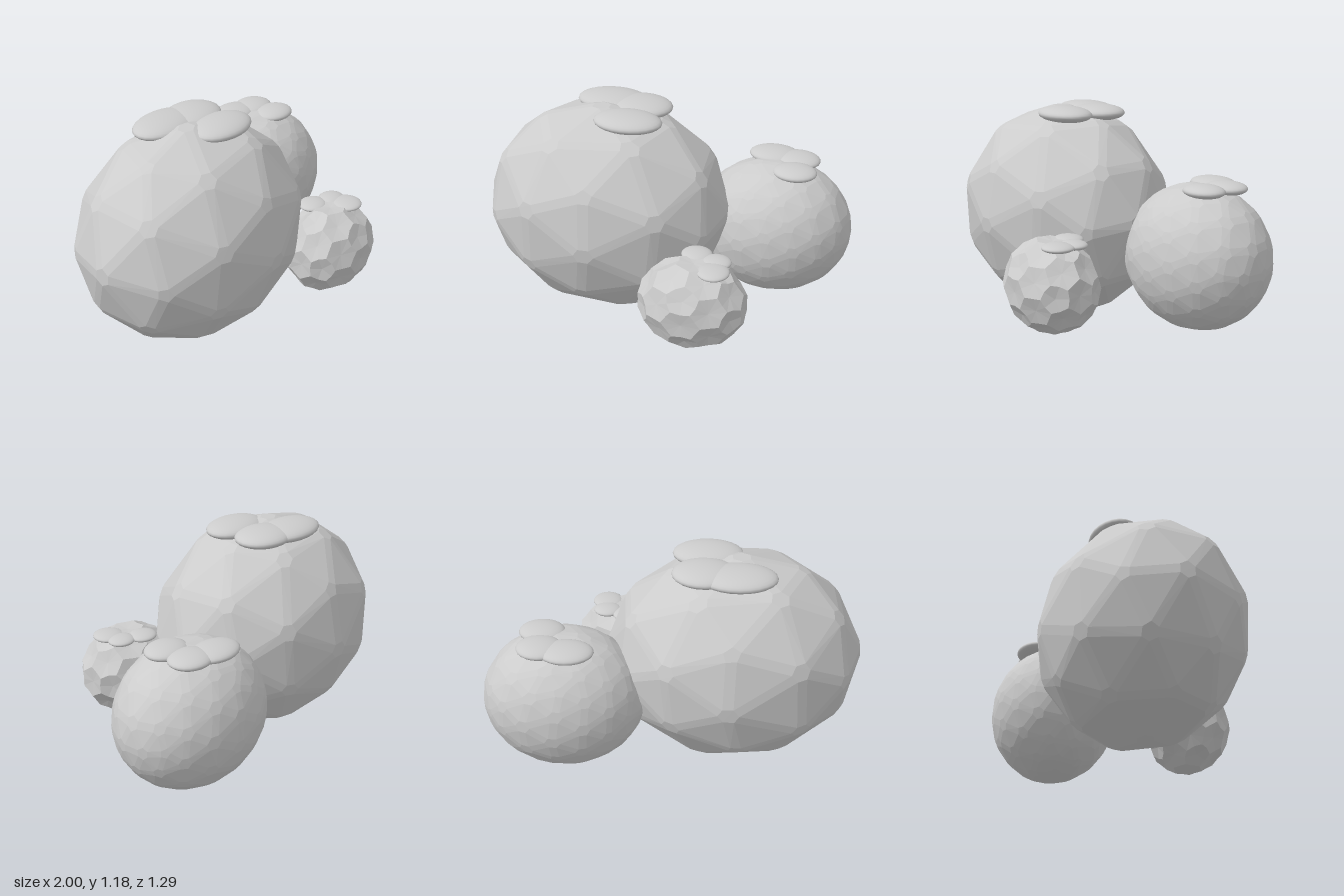
import * as THREE from 'three';
import { ConvexGeometry } from 'three/addons/geometries/ConvexGeometry.js';

const stone = new THREE.MeshStandardMaterial({ color: 0xcccccc, flatShading: true });
const moss = new THREE.MeshStandardMaterial({ color: 0xcccccc });

// Triangles of a slightly warped icosphere, each as three unit vectors
function warpedTriangles({ detail, warp, seed }) {
  const pos = new THREE.IcosahedronGeometry(1, detail).attributes.position;
  const corner = (i) => {
    const p = new THREE.Vector3().fromBufferAttribute(pos, i);
    return p.set(
      p.x + warp * Math.sin(3 * p.y + seed),
      p.y + warp * Math.sin(3 * p.z + seed * 2),
      p.z + warp * Math.sin(3 * p.x + seed * 3)).normalize();
  };
  return Array.from({ length: pos.count / 3 }, (_, t) => [0, 1, 2].map((k) => corner(t * 3 + k)));
}

const middle = (...pts) => pts.reduce((s, p) => s.add(p), new THREE.Vector3()).divideScalar(pts.length);

// Flat facets joined by bevel strips: hull of the icosphere's triangles after insetting
function bevelledStone(rock) {
  const points = [];
  for (const tri of warpedTriangles(rock)) {
    const mid = middle(...tri);
    for (const p of tri) points.push(mid.clone().lerp(p, rock.inset).normalize());
  }
  return new ConvexGeometry(points);
}

// Dimpled stone: hollow five- and six-sided cells with raised rims
function dimpledStone(rock) {
  const points = [];
  for (const tri of warpedTriangles(rock)) {
    const mid = middle(...tri).normalize();
    const low = tri.map((p) => p.clone().multiplyScalar(rock.hollow));
    for (let k = 0; k < 3; k++) {
      const n = (k + 1) % 3;
      const rim = middle(tri[k], tri[n]).normalize().multiplyScalar(0.98);
      points.push(low[k], rim, mid, rim, low[n], mid);
    }
  }
  return new THREE.BufferGeometry().setFromPoints(points);
}

// Size one stone to its own extents
function fit(geo, min, max) {
  geo.center();
  const size = geo.boundingBox.getSize(new THREE.Vector3());
  geo.scale(...[0, 1, 2].map((k) => (max[k] - min[k]) / size.getComponent(k)));
  geo.translate(...[0, 1, 2].map((k) => (max[k] + min[k]) / 2));
  geo.computeVertexNormals();
  return geo;
}

// pads: [x, z, radiusX, radiusZ] of the flattened moss cushions
const ROCKS = [
  { name: 'largeBoulder', shape: bevelledStone, detail: 1, inset: 0.76, warp: 0.06, seed: 1,
    min: [-1, 0, -0.59], max: [0.36, 1.17, 0.485],
    padY: 1.138, padH: 0.045,
    pads: [[-0.33, -0.205, 0.2, 0.135], [-0.16, -0.165, 0.17, 0.14], [-0.175, 0.04, 0.185, 0.13]] },
  { name: 'mediumBoulder', shape: bevelledStone, detail: 2, inset: 0.6, warp: 0.07, seed: 2.3,
    min: [0.14, 0.07, -0.645], max: [1, 0.838, 0.055],
    padY: 0.82, padH: 0.035,
    pads: [[0.53, -0.425, 0.14, 0.105], [0.67, -0.39, 0.12, 0.105], [0.675, -0.24, 0.12, 0.1]] },
  { name: 'smallBoulder', shape: dimpledStone, detail: 1, hollow: 0.915, warp: 0.03, seed: 4,
    min: [0.01, 0.11, 0.205], max: [0.565, 0.585, 0.645],
    padY: 0.569, padH: 0.023,
    pads: [[0.28, 0.315, 0.082, 0.075], [0.395, 0.36, 0.078, 0.07], [0.4, 0.455, 0.085, 0.085]] },
];

export function createModel() {
  const model = new THREE.Group();
  model.name = 'mossyBoulders';
  for (const r of ROCKS) {
    const group = new THREE.Group();
    group.name = r.name;
    const rock = new THREE.Mesh(fit(r.shape(r), r.min, r.max), stone);
    rock.name = r.name + 'Stone';
    group.add(rock);

    // Moss cushions on the crown
    r.pads.forEach(([x, z, rx, rz], i) => {
      const pad = new THREE.Mesh(new THREE.SphereGeometry(1, 24, 16), moss);
      pad.name = r.name + 'MossPatch' + (i + 1);
      pad.scale.set(rx, r.padH, rz);
      pad.position.set(x, r.padY, z);
      group.add(pad);
    });
    model.add(group);
  }
  return model;
}
